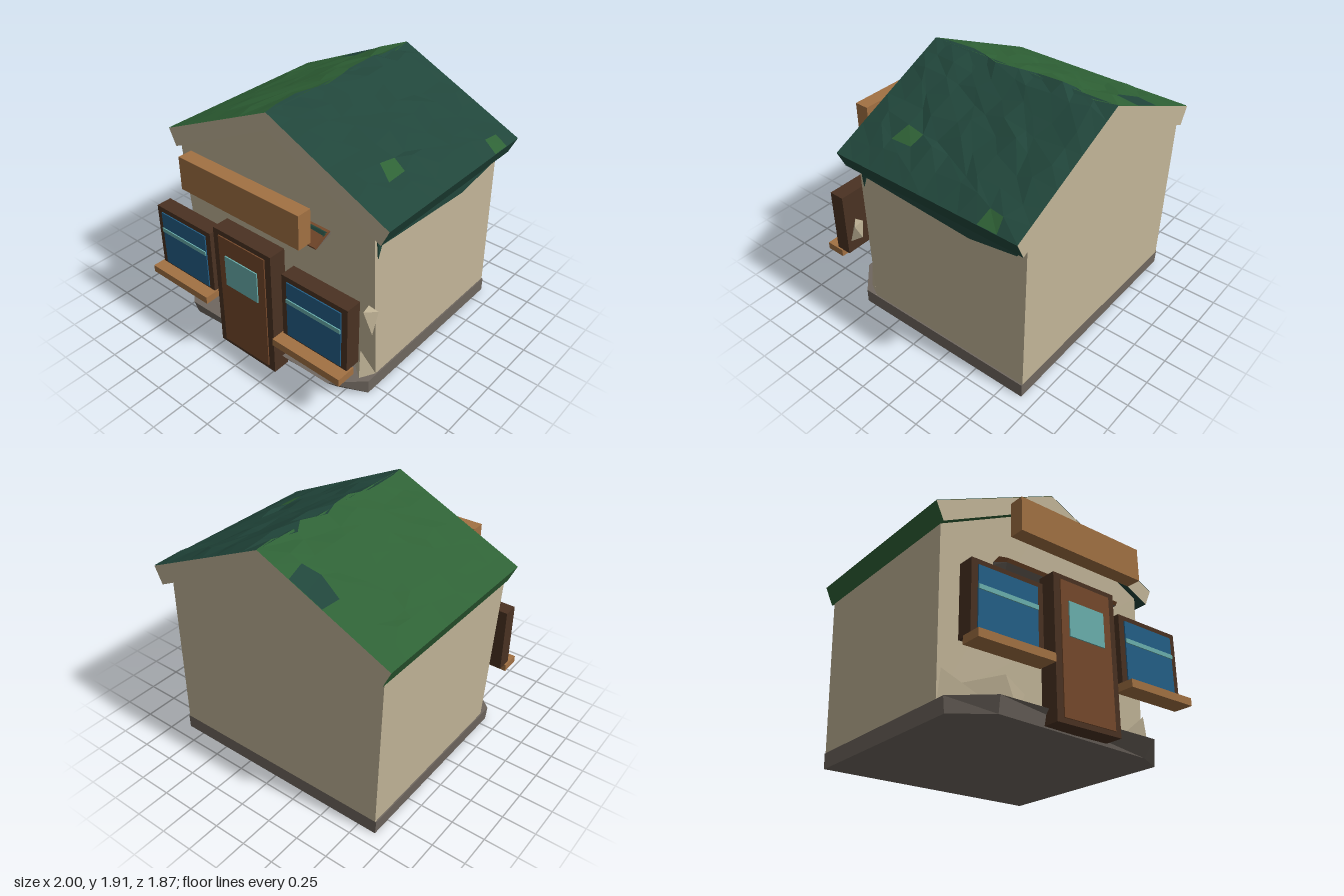
import * as THREE from 'three';
import { ConvexGeometry } from 'three/addons/geometries/ConvexGeometry.js';

const mat = (name, color, double) => {
  const m = new THREE.MeshStandardMaterial({ color, flatShading: true });
  m.name = name;
  if (double) m.side = THREE.DoubleSide;
  return m;
};

// repeatable value in 0..1 for a grid position
const hash = (a, b) => {
  const s = Math.sin(a * 127.1 + b * 311.7) * 43758.5453;
  return s - Math.floor(s);
};

const toShape = (pts) => new THREE.Shape(pts.map(([x, y]) => new THREE.Vector2(x, y)));
const extrude = (pts, depth) => new THREE.ExtrudeGeometry(toShape(pts), { depth, bevelEnabled: false });

// (z, y) outline drawn out along x from x0 to x1
const extrudeX = (pts, x0, x1) => extrude(pts, x1 - x0).rotateY(-Math.PI / 2).translate(x1, 0, 0);

// move each vertex of a geometry by a rule
function reshape(geo, rule) {
  const p = geo.attributes.position;
  const v = new THREE.Vector3();
  for (let i = 0; i < p.count; i++) {
    rule(v.fromBufferAttribute(p, i));
    p.setXYZ(i, v.x, v.y, v.z);
  }
  geo.computeVertexNormals();
  return geo;
}

export function createModel() {
  const cream = mat('cream plaster', 0xc2b598);
  const grey = mat('grey stone', 0x6f675f);
  const leafGreen = mat('leaf green roof', 0x2f6236, true);
  const deepGreen = mat('deep green roof', 0x21463b, true);
  const darkWood = mat('dark wood', 0x4a3222);
  const doorWood = mat('door wood', 0x75492b);
  const lightWood = mat('light wood', 0xa27143);
  const blue = mat('blue glass', 0x235f87);
  const teal = mat('teal glass', 0x6ab0ae);

  const group = new THREE.Group();
  const add = (name, geo, material, parent = group) => {
    const m = new THREE.Mesh(geo, material);
    m.name = name;
    parent.add(m);
    return m;
  };
  // box given by its min and max on each axis
  const box = (name, [x0, x1], [y0, y1], [z0, z1], material, parent) => {
    const g = new THREE.BoxGeometry(x1 - x0, y1 - y0, z1 - z0);
    g.translate((x0 + x1) / 2, (y0 + y1) / 2, (z0 + z1) / 2);
    return add(name, g, material, parent);
  };

  // stone base with a bulging front
  const plan = [[-0.89, 0.9], [0.89, 0.9], [0.89, -0.58], [0.68, -0.78], [-0.64, -0.8], [-0.89, -0.58]];
  const base = extrude(plan, 0.11).rotateX(-Math.PI / 2);
  add('base', reshape(base, (v) => {
    if (v.y < 0.05 && v.z > 0.7) v.z -= v.x > 0 ? 0.1 : 0.03;
    if (v.y > 0.05 && v.x < 0) v.x -= 0.01;
  }), grey);

  // walls, leaning slightly at the front
  const gable = [[-0.89, 0.1], [0.88, 0.1], [0.86, 1.33], [0, 1.78], [-0.935, 1.31]];
  const walls = extrude(gable, 1.43).translate(0, 0, -0.9);
  add('walls', reshape(walls, (v) => {
    if (v.z > 0) v.z = 0.485 + 0.04 * Math.min(v.y, 1.4);
  }), cream);

  // roof: a slab with plaster ends under a rough covering on each side
  const zBack = -0.93, zFront = 0.58, cols = 8, rows = 10;
  const patches = { '-1': ['4,0', '5,0'], '1': ['5,7', '7,1'] };
  for (const side of [-1, 1]) {
    const main = side < 0 ? leafGreen : deepGreen;
    const other = side < 0 ? deepGreen : leafGreen;
    const sideName = side < 0 ? 'right' : 'left';
    const slab = [[0, 1.88], [side, 1.42], [side * 0.94, 1.29], [0, 1.755]];
    add(sideName + 'RoofSlab', extrude(slab, zFront - zBack).translate(0, 0, zBack), [cream, main]);

    const cover = new THREE.PlaneGeometry(1, 1, cols, rows);
    reshape(cover, (v) => {
      const x = v.x + side * 0.5;
      const row = Math.round((0.5 - v.y) * rows);
      const col = Math.round(x * cols);
      const edge = row === 0 || row === rows;
      const inner = !edge && Math.abs(col) < cols;
      const shift = inner ? (hash(col, row) - 0.5) * 0.09 : 0;
      const z = zBack + (row / rows) * (zFront - zBack)
        + (inner ? (hash(col + 20, row + 5) - 0.5) * 0.09 : 0);
      const lift = edge ? 0.004 : 0.006 + 0.03 * hash(col + 7, row + 3);
      const X = x + shift;
      v.set(X, 1.88 - 0.46 * Math.abs(X) + (Math.abs(col) === cols ? 0.004 : lift), z);
    });
    cover.clearGroups();
    for (let r = 0; r < rows; r++) {
      for (let c = 0; c < cols; c++) {
        cover.addGroup((r * cols + c) * 6, 6, patches[side].includes(c + ',' + r) ? 1 : 0);
      }
    }
    add(sideName + 'RoofCover', cover, [main, other]);
  }

  // ragged green strip below the left eave
  const strip = [[0.5, 1.11], [0.52, 1.32], [-0.88, 1.34], [-0.83, 1.2], [-0.45, 1.14], [0.47, 1.2]];
  add('eaveStrip', extrudeX(strip, 0.862, 0.87), deepGreen);

  // small canopy above the door
  add('canopyTop', extrudeX([[0.53, 1.17], [0.675, 1.1], [0.69, 1.125], [0.59, 1.185]], -0.5, 0.5), doorWood);
  add('canopyUnderside', reshape(
    extrudeX([[0.52, 1.15], [0.62, 1.07], [0.675, 1.1], [0.53, 1.17]], -0.5, 0.5),
    (v) => { if (v.y < 1.09) v.x = v.x < 0 ? -0.47 : 0.46; }), grey);
  add('canopyMoss', new ConvexGeometry([
    [-0.2, 1.18, 0.585], [0.5, 1.165, 0.615], [0.5, 1.195, 0.59], [0.5, 1.17, 0.55], [-0.1, 1.178, 0.56],
  ].map((p) => new THREE.Vector3(...p))), deepGreen);

  // loose plaster lumps on the front
  const lumps = [
    [[-0.76, 0.24, 0.5], [-0.45, 0.35, 0.6], [-0.35, 0.35, 0.53], [-0.3, 0.25, 0.6], [-0.35, 0.11, 0.6], [-0.5, 0.11, 0.49]],
    [[-0.89, 0.11, 0.5], [-0.87, 0.32, 0.5], [-0.6, 0.11, 0.64], [-0.45, 0.11, 0.5]],
    [[0.7, 0.24, 0.52], [0.81, 0.35, 0.58], [0.82, 0.11, 0.6], [0.76, 0.14, 0.56], [0.88, 0.11, 0.49]],
    [[0.86, 0.77, 0.57], [0.94, 0.76, 0.57], [0.94, 0.6, 0.63], [0.88, 0.63, 0.57], [0.87, 0.76, 0.64]],
  ];
  for (const pts of lumps) {
    add('plasterLump', new ConvexGeometry(pts.map((p) => new THREE.Vector3(...p))), cream);
  }

  // door
  const door = new THREE.Group();
  door.name = 'door';
  group.add(door);
  box('doorFrame', [-0.27, 0.27], [0.01, 1.03], [0.73, 0.865], darkWood, door);
  box('doorPanel', [-0.217, 0.217], [0.045, 0.99], [0.865, 0.874], doorWood, door);
  box('doorGlass', [-0.155, 0.15], [0.595, 0.845], [0.874, 0.883], teal, door);

  // windows, one on each side of the door
  for (const side of [-1, 1]) {
    const win = new THREE.Group();
    win.name = side < 0 ? 'rightWindow' : 'leftWindow';
    win.position.x = side * 0.622;
    group.add(win);
    box('windowFrame', [-0.28, 0.28], [0.41, 0.92], [0.72, 0.84], darkWood, win);
    box('windowGlass', [-0.232, 0.232], [0.43, 0.88], [0.84, 0.849], blue, win);
    box('glassStripe', [-0.232, 0.232], [0.715, 0.747], [0.849, 0.857], teal, win);
    box('windowSill', [-0.293, 0.293], [0.355, 0.412], [0.785, 0.935], lightWood, win);
  }

  // blank sign board
  box('signBoard', [-0.54, 0.54], [1.23, 1.485], [0.77, 0.88], lightWood);

  return group;
}
